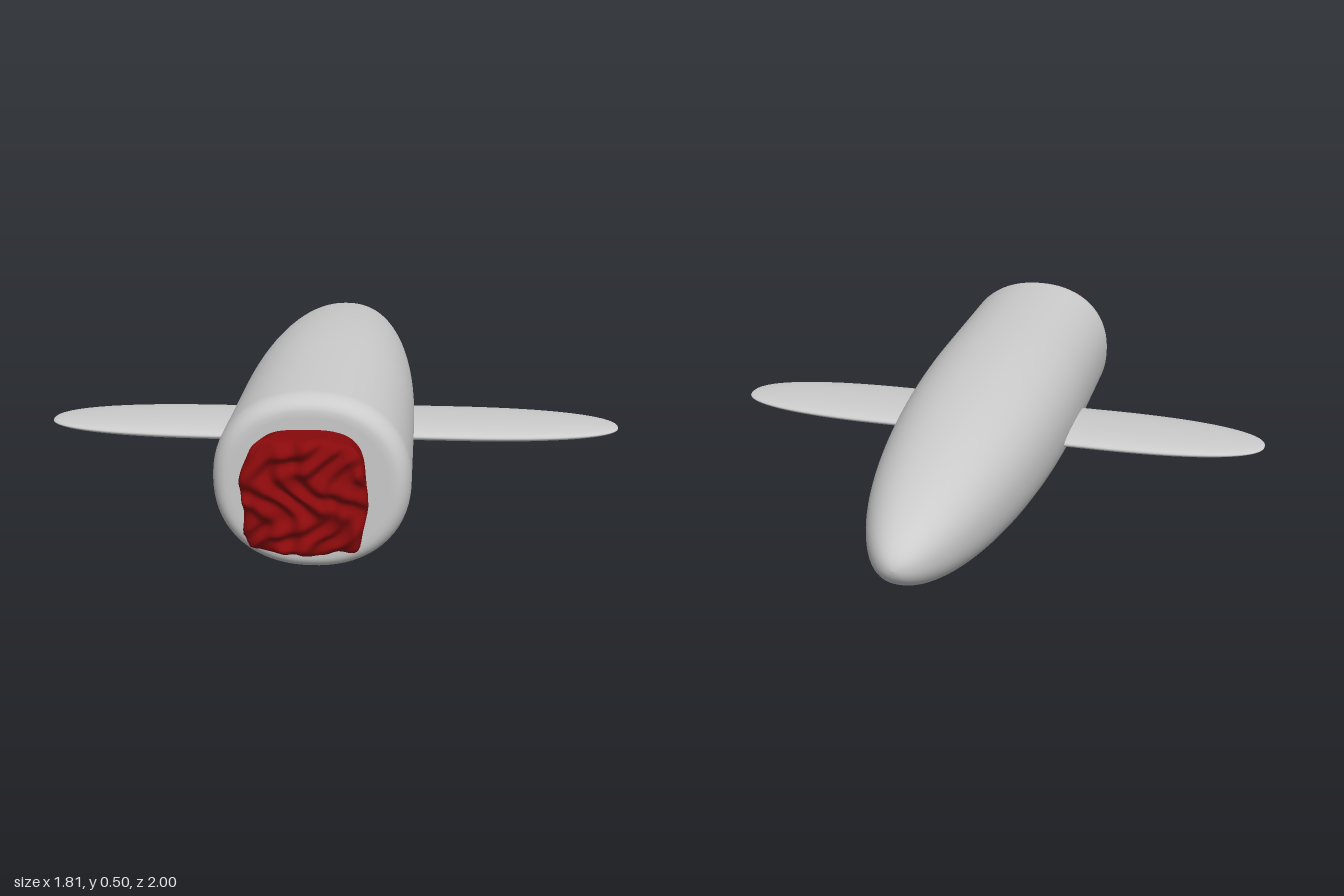
import * as THREE from 'three';

// Skin of rings stacked along z: each ring is {z, rx, ry, n}, a superellipse of exponent n
function loft(rings, segments, displace) {
  const pos = [], index = [];
  rings.forEach((r, i) => {
    for (let j = 0; j < segments; j++) {
      const a = (j / segments) * Math.PI * 2, c = Math.cos(a), s = Math.sin(a);
      const k = Math.pow(Math.abs(c) ** r.n + Math.abs(s) ** r.n, -1 / r.n);
      const p = new THREE.Vector3(r.rx * c * k, r.ry * s * k, r.z);
      if (displace) displace(p, r);
      pos.push(p.x, p.y, p.z);
      if (i === rings.length - 1) continue;
      const j2 = (j + 1) % segments, A = i * segments, B = A + segments;
      index.push(A + j, A + j2, B + j2, A + j, B + j2, B + j);
    }
  });
  const g = new THREE.BufferGeometry();
  g.setAttribute('position', new THREE.Float32BufferAttribute(pos, 3));
  g.setIndex(index);
  g.computeVertexNormals();
  return g;
}

export function createModel() {
  const group = new THREE.Group();
  const grey = new THREE.MeshStandardMaterial({ color: 0xcccccc });
  const red = new THREE.MeshStandardMaterial({ color: 0x8a0a0c });
  const add = (name, geometry, material, x, y, z) => {
    const m = new THREE.Mesh(geometry, material);
    m.name = name;
    m.position.set(x, y, z);
    group.add(m);
    return m;
  };

  // Fuselage: elliptical nose, straight barrel, rounded rim and flat end
  const body = [];
  const ring = (z, f) => body.push({ z, rx: 0.271 * f, ry: 0.249 * f, n: 2.2 });
  for (let i = 0; i <= 40; i++) {
    const t = (i / 40) * Math.PI / 2;
    ring(0.3 - 1.3 * Math.cos(t), Math.max(Math.sin(t), 0.0005));
  }
  ring(0.55, 1);
  for (let i = 0; i <= 10; i++) {
    const t = (i / 10) * Math.PI / 2;
    ring(0.78 + 0.07 * Math.sin(t), 0.8 + 0.2 * Math.cos(t) ** 0.8);
  }
  ring(0.85, 0.78);
  ring(0.85, 0.4);
  ring(0.85, 0.0005);
  add('fuselage', loft(body, 72), grey, -0.007, 0.255, 0);

  // Exhaust flame: round at the root, squarish and lumpy at the end
  const flame = [];
  for (let i = 0; i <= 12; i++) {
    const t = i / 12, r = 0.15 + 0.012 * t;
    flame.push({ z: 0.8 + 0.165 * t, rx: r, ry: r * 0.97, n: 2.8 + 1.5 * t, w: t * t });
  }
  for (let i = 1; i <= 24; i++) {
    const t = i / 24, r = 0.162 * Math.max(1 - t, 0.001);
    flame.push({ z: 0.965 + 0.018 * Math.min(1, t * 8) ** 0.5, rx: r, ry: r * 0.97, n: 4.3 - 2.3 * t, w: 1 });
  }
  const lumps = (p, r) => {
    const { x, y } = p;
    const bump = Math.sin(x * 62 + 2 * Math.sin(y * 31)) * Math.cos(y * 58 + 1.5 * Math.sin(x * 27 + 1));
    const side = 1 + 0.03 * r.w * Math.sin(x * 45 + y * 38 + 1);
    p.set(x * side, y * side, p.z + 0.016 * r.w * bump);
  };
  add('exhaustFlame', loft(flame, 96, lumps), red, -0.012, 0.266, 0);

  // Wings: thin oval section with a rounded tip
  const wing = [];
  for (let i = 0; i <= 36; i++) {
    const t = Math.sin((i / 36) * Math.PI / 2);
    const u = Math.max(0, (t - 0.22) / 0.78);
    const f = Math.max((1 - u ** 2.4) ** 0.42, 0.001);
    wing.push({ z: 0.2 + 0.706 * t, rx: 0.156 * f, ry: 0.027 * f ** 1.15, n: 2.1 });
  }
  const wingGeometry = loft(wing, 48);
  add('leftWing', wingGeometry, grey, 0, 0.218, 0.156).rotation.y = Math.PI / 2;
  add('rightWing', wingGeometry, grey, -0.002, 0.206, 0.156).rotation.y = -Math.PI / 2;

  return group;
}
